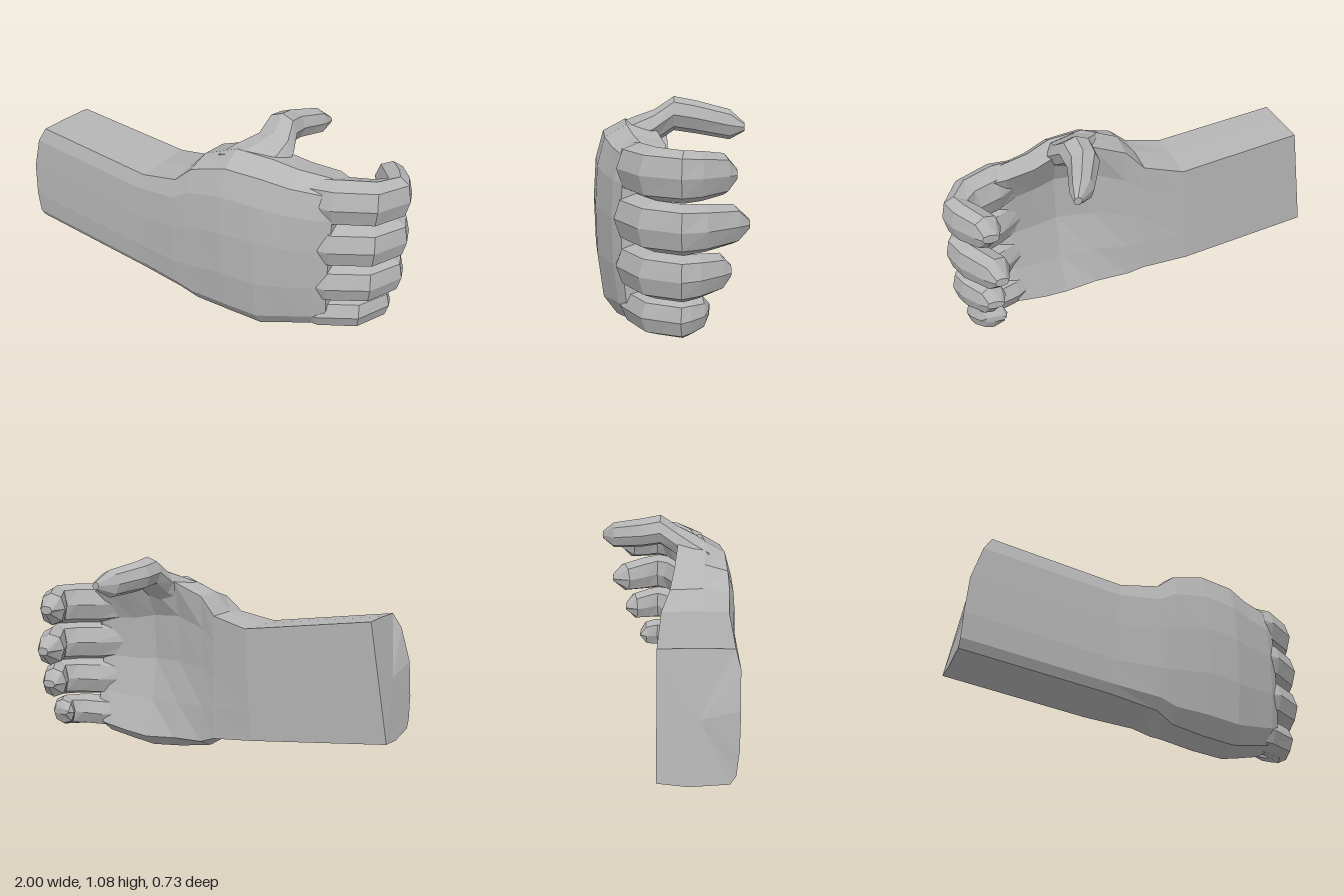
import * as THREE from 'three';

const { lerp } = THREE.MathUtils;
const skin = new THREE.MeshStandardMaterial({ color: 0xb4b4b4, flatShading: true });
skin.name = 'grey skin';

// Skin a list of equal-length rings into a closed, outward-facing faceted solid.
function loft(name, rings) {
  const tris = [];
  const n = rings[0].length;
  for (let i = 0; i < rings.length - 1; i++) {
    for (let j = 0; j < n; j++) {
      const k = (j + 1) % n;
      const a = rings[i][j], b = rings[i][k], c = rings[i + 1][k], d = rings[i + 1][j];
      tris.push([a, b, c], [a, c, d]);
    }
  }
  const cap = (ring, flip) => {
    const mid = ring.reduce((s, p) => s.add(p), new THREE.Vector3()).divideScalar(n);
    ring.forEach((p, j) => {
      const q = ring[(j + 1) % n];
      tris.push(flip ? [mid, q, p] : [mid, p, q]);
    });
  };
  cap(rings[0], true);
  cap(rings[rings.length - 1], false);

  // A negative enclosed volume means the winding is inside out.
  const volume = tris.reduce((s, [a, b, c]) => s + a.dot(b.clone().cross(c)), 0);
  const points = tris.flatMap(([a, b, c]) => (volume < 0 ? [a, c, b] : [a, b, c]));
  const geometry = new THREE.BufferGeometry().setFromPoints(points);
  geometry.computeVertexNormals();
  const mesh = new THREE.Mesh(geometry, skin);
  mesh.name = name;
  return mesh;
}

// Cross-section: [hand height, hand depth, forearm height, forearm depth, share of palm hollow]
const armSection = [
  [0.98, 0.05, 0.99, 0, 0], [1, 0.5, 1, 0.5, 0], [0.94, 0.84, 1, 0.93, 0],
  [0.8, 0.96, 0.88, 0.99, 0], [0.6, 1, 0.6, 1, 0], [0.35, 0.98, 0.3, 1, 0],
  [0.13, 0.89, 0.1, 0.97, 0], [0.04, 0.68, 0.03, 0.9, 0], [0, 0.3, 0, 0.4, 0],
  [0.07, 0.03, 0.02, 0, 0], [0.28, 0, 0.28, 0, 0.6], [0.52, 0, 0.52, 0, 1], [0.78, 0, 0.78, 0, 0.9],
];
// Stations: x, bottom, top, palm z, back-of-hand z, palm hollow, lean of the upper edge, forearm share
const armStations = [
  [-1, 0.23, 0.82, 0.005, 0.35, 0, 0.1, 1],
  [-0.29, 0.145, 0.74, -0.01, 0.345, 0, 0.04, 1],
  [-0.05, 0.1, 0.79, 0.02, 0.36, 0.01, 0, 0.7],
  [0.04, 0.045, 0.89, 0.035, 0.36, 0.025, 0, 0.35],
  [0.22, 0.015, 0.965, 0.04, 0.355, 0.07, 0, 0],
  [0.4, 0, 0.955, 0.03, 0.33, 0.12, 0, 0],
  [0.52, 0.03, 0.92, 0.0, 0.285, 0.12, 0, 0],
  [0.66, 0.065, 0.905, -0.02, 0.235, 0.1, 0, 0],
  [0.72, 0.1, 0.89, 0.0, 0.19, 0.08, 0, 0],
];

// Finger outline: [inner -1 .. outer 1, across]
const fingerSection = [
  [1, 0], [0.75, 0.74], [0.1, 1], [-0.7, 0.75], [-1, 0], [-0.7, -0.75], [0.1, -1], [0.75, -0.74],
];
// Finger curl: outer x, outer z, inner x, inner z, height scale
const curl = [
  [0.54, 0.23, 0.54, 0.13, 0.8],
  [0.72, 0.22, 0.7, 0.0, 1],
  [0.9, 0.11, 0.8, -0.05, 1],
  [0.985, -0.07, 0.84, -0.09, 0.97],
  [0.95, -0.18, 0.78, -0.16, 0.92],
  [0.85, -0.32, 0.72, -0.25, 0.78],
  [0.81, -0.36, 0.745, -0.355, 0.2],
];
const knuckle = 3;
// Fingers: name, base y, tip y, half height, x shift, base z drop, length beyond the knuckle
const fingers = [
  ['indexFinger', 0.8, 0.79, 0.112, 0, 0.02, 0.8],
  ['middleFinger', 0.582, 0.575, 0.11, 0.01, 0, 1],
  ['ringFinger', 0.365, 0.38, 0.104, 0.008, 0.01, 0.73],
  ['littleFinger', 0.165, 0.205, 0.088, -0.035, 0.035, 0.4],
];

// Thumb stations: x, y, z, half width, half height
const thumbStations = [
  [0.24, 0.86, 0.22, 0.15, 0.09],
  [0.29, 0.89, 0.14, 0.155, 0.095],
  [0.328, 0.94, 0.05, 0.11, 0.08],
  [0.32, 1.0, -0.04, 0.085, 0.08],
  [0.315, 0.983, -0.14, 0.08, 0.078],
  [0.372, 0.953, -0.3, 0.06, 0.07],
  [0.41, 0.945, -0.365, 0.02, 0.02],
];

export function createModel() {
  const hand = new THREE.Group();
  hand.name = 'hand';

  // Forearm, wrist and palm
  hand.add(loft('forearmAndPalm', armStations.map(([x, y0, y1, z0, z1, hollow, lean, forearm]) =>
    armSection.map(([hy, hz, ay, az, share]) => {
      const fy = lerp(hy, ay, forearm), fz = lerp(hz, az, forearm);
      return new THREE.Vector3(
        x + lean * fy ** lerp(1, 4, fz), lerp(y0, y1, fy), lerp(z0, z1, fz) + hollow * share);
    }))));

  // Four curled fingers; shorter ones stop earlier along the same curl
  for (const [name, baseY, tipY, half, shift, drop, length] of fingers) {
    hand.add(loft(name, curl.map((station, i) => {
      const reach = i > knuckle ? length : 1;
      const [ox, oz, ix, iz] = station.map((v, c) => lerp(curl[knuckle][c], v, reach));
      const y = lerp(baseY, tipY, i / (curl.length - 1));
      const sink = drop * Math.max(0, 1 - i / knuckle);
      return fingerSection.map(([u, v]) => {
        const t = (u + 1) / 2;
        return new THREE.Vector3(
          lerp(ix, ox, t) + shift, y + v * half * station[4], lerp(iz, oz, t) - sink);
      });
    })));
  }

  // Thumb
  hand.add(loft('thumb', thumbStations.map(([x, y, z, rx, ry]) =>
    Array.from({ length: 8 }, (_, i) => {
      const a = (i / 8) * Math.PI * 2;
      return new THREE.Vector3(x + rx * Math.cos(a), y + ry * Math.sin(a), z);
    }))));

  return hand;
}
